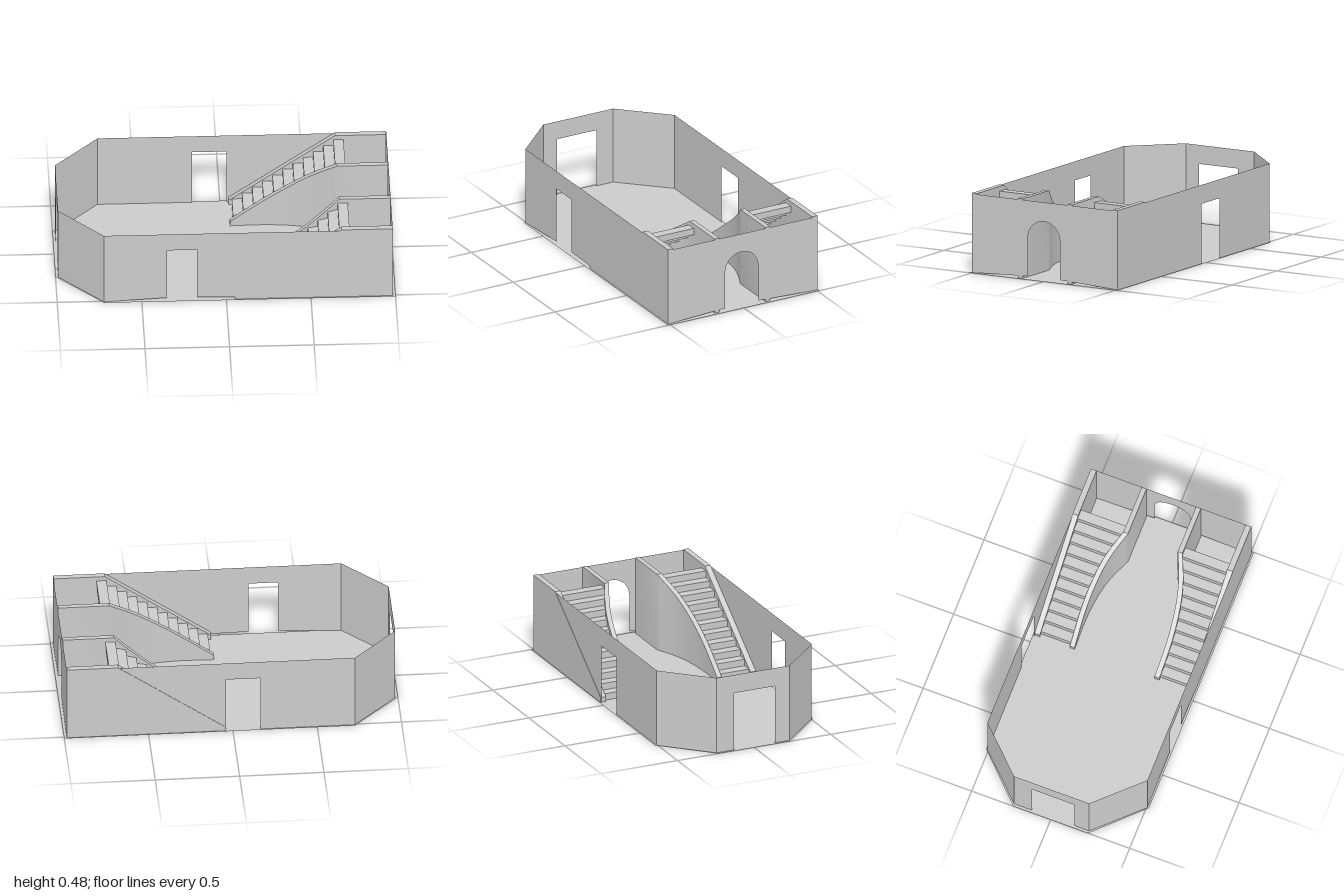
import * as THREE from 'three';
import { toCreasedNormals } from 'three/addons/utils/BufferGeometryUtils.js';

const H = 0.474;   // wall height
const DOOR = 0.36; // height of every opening
const mat = new THREE.MeshStandardMaterial({ color: 0xcccccc, side: THREE.DoubleSide });

function add(group, name, geometry) {
  const mesh = new THREE.Mesh(geometry, mat);
  mesh.name = name;
  group.add(mesh);
  return mesh;
}

// Thin upright wall from a to b ([x, z]); the opening runs from u0 to u1 along it,
// and the wall foot rises by lift towards the opening.
function wall(group, name, a, b, opening) {
  const dx = b[0] - a[0], dz = b[1] - a[1], L = Math.hypot(dx, dz);
  const s = new THREE.Shape();
  s.moveTo(0, 0);
  if (opening) {
    const { u0, u1, lift = 0, arch = false } = opening;
    s.lineTo(u0, lift);
    if (arch) {
      const r = (u1 - u0) / 2, c = (u0 + u1) / 2;
      for (let i = 0; i <= 8; i++) {
        const t = Math.PI * (1 - i / 8);
        s.lineTo(c + r * Math.cos(t), DOOR - r + r * Math.sin(t));
      }
    } else {
      s.lineTo(u0, DOOR);
      s.lineTo(u1, DOOR);
    }
    s.lineTo(u1, lift);
  }
  s.lineTo(L, 0);
  s.lineTo(L, H);
  s.lineTo(0, H);
  const mesh = add(group, name, new THREE.ShapeGeometry(s));
  mesh.position.set(a[0], 0, a[1]);
  mesh.rotation.y = Math.atan2(-dz, dx);
}

// Solid panel standing on the floor, lofted through stations [x, z, top]
function panel(stations, thickness) {
  const t = thickness / 2, pos = [];
  const sec = stations.map(([x, z, y]) => [[x, 0, z - t], [x, y, z - t], [x, y, z + t], [x, 0, z + t]]);
  const quad = (a, b, c, d) => pos.push(...a, ...b, ...c, ...a, ...c, ...d);
  for (let i = 0; i < sec.length - 1; i++) {
    for (let k = 0; k < 4; k++) {
      const n = (k + 1) % 4;
      quad(sec[i][k], sec[i][n], sec[i + 1][n], sec[i + 1][k]);
    }
  }
  const [p, q] = [sec[0], sec[sec.length - 1]];
  quad(p[0], p[3], p[2], p[1]);
  quad(q[0], q[1], q[2], q[3]);
  const g = new THREE.BufferGeometry();
  g.setAttribute('position', new THREE.Float32BufferAttribute(pos, 3));
  return toCreasedNormals(g, 0.5);
}

// Stair rail height: sloped, then level at the top
const X0 = 0.05, X1 = 0.68, X2 = 0.982;
const railTop = x => 0.03 + 0.449 * Math.min(1, (x - X0) / (X1 - X0));

// Plan line of the curved inner panel
const innerCurve = new THREE.SplineCurve([
  [0.05, 0.268], [0.25, 0.273], [0.42, 0.258], [0.55, 0.227], [X1, 0.172],
].map(p => new THREE.Vector2(...p)));
const innerLine = innerCurve.getPoints(16);

function innerZ(x) {
  for (let i = 1; i < innerLine.length; i++) {
    const a = innerLine[i - 1], b = innerLine[i];
    if (x <= b.x) return a.y + (b.y - a.y) * (x - a.x) / (b.x - a.x);
  }
  return 0.172;
}

function staircase(name, side, outerZ) {
  const g = new THREE.Group();
  g.name = name;

  // Straight panel along the room wall
  add(g, 'outerPanel', panel([X0, X1, X2].map(x => [x, side * outerZ, railTop(x)]), 0.035));

  // Curved panel facing the passage
  const line = [...innerLine.map(p => [p.x, p.y]), [X2, 0.172]];
  add(g, 'innerPanel', panel(line.map(([x, z]) => [x, side * z, railTop(x)]), 0.03));

  // Steps, each reaching from the outer to the inner panel
  const count = 11, run = 0.06, rise = 0.041;
  for (let i = 0; i < count; i++) {
    const x = 0.07 + run * (i + 0.5);
    const zi = innerZ(x), width = outerZ - zi;
    const step = add(g, 'step', new THREE.BoxGeometry(run, rise, width));
    step.position.set(x, rise * (i + 0.5), side * (zi + width / 2));
  }
  return g;
}

export function createModel() {
  const model = new THREE.Group();
  model.name = 'room';

  // Floor with two cut corners
  const outline = [[1, 0.516], [-0.722, 0.516], [-1, 0.237], [-1, -0.237], [-0.722, -0.516], [1, -0.516]];
  const floor = add(model, 'floor', new THREE.ShapeGeometry(
    new THREE.Shape(outline.map(p => new THREE.Vector2(...p)))));
  floor.rotation.x = Math.PI / 2;

  // Walls, set slightly in from the floor edge
  const W = 0.984, C = -0.724, D = 0.506, E = 0.237;
  wall(model, 'frontWall', [C, D], [W, D], { u0: -0.35 - C, u1: -0.175 - C, lift: 0.02 });
  wall(model, 'archWall', [W, D], [W, -D], { u0: D - 0.12, u1: D + 0.107, lift: 0.018, arch: true });
  wall(model, 'backWall', [W, -D], [C, -D], { u0: W - 0.04, u1: W + 0.163 });
  wall(model, 'backCornerWall', [C, -D], [-W, -E]);
  wall(model, 'endWall', [-W, -E], [-W, E], { u0: E - 0.125, u1: E + 0.145 });
  wall(model, 'frontCornerWall', [-W, E], [C, D]);

  // Mirrored pair of stairs
  model.add(staircase('frontStairs', 1, 0.488));
  model.add(staircase('backStairs', -1, 0.491));
  return model;
}
